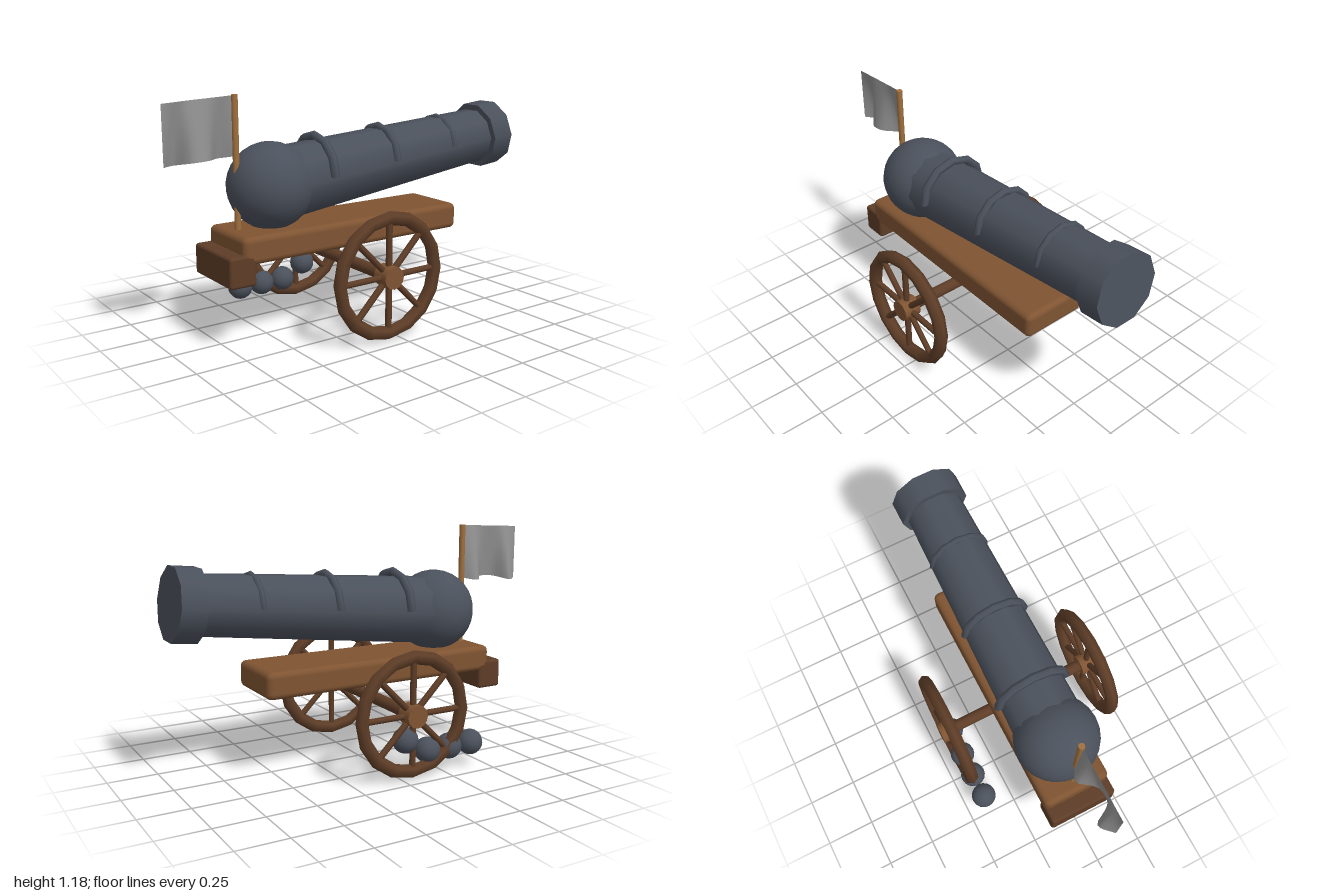
import * as THREE from 'three';
import { RoundedBoxGeometry } from 'three/addons/geometries/RoundedBoxGeometry.js';

const material = (name, color) => {
  const m = new THREE.MeshStandardMaterial({ color });
  m.name = name;
  return m;
};

export function createModel() {
  const iron = material('dark iron', 0x4b515c);
  const wood = material('brown wood', 0x7f5432);
  const darkWood = material('dark wood', 0x5e3d27);
  const paleWood = material('pale wood', 0xa1713f);
  const cloth = material('grey cloth', 0x929292);
  cloth.side = THREE.DoubleSide;

  const model = new THREE.Group();
  model.name = 'cannon';
  const add = (parent, name, geometry, mat, x = 0, y = 0, z = 0) => {
    const mesh = new THREE.Mesh(geometry, mat);
    mesh.name = name;
    mesh.position.set(x, y, z);
    parent.add(mesh);
    return mesh;
  };

  // Barrel, tilted up towards +x, with its origin at the breech ball
  const barrel = new THREE.Group();
  barrel.name = 'barrel';
  barrel.position.set(-0.46, 0.742, 0);
  barrel.rotation.z = 0.1;
  model.add(barrel);
  const alongX = (rFront, rBack, length) =>
    new THREE.CylinderGeometry(rFront, rBack, length, 10).rotateZ(-Math.PI / 2);
  add(barrel, 'breechBall', new THREE.SphereGeometry(0.212, 24, 16), iron);
  add(barrel, 'barrelTube', alongX(0.147, 0.181, 1.35), iron, 0.675);
  add(barrel, 'muzzle', alongX(0.18, 0.18, 0.125), iron, 1.387);

  // Half hoops over the top of the barrel: x, y, radius, thickness
  for (const [x, y, r, t] of [
    [-0.205, 0.78, 0.183, 0.022],
    [0.19, 0.816, 0.163, 0.02],
    [0.585, 0.851, 0.147, 0.016],
  ]) {
    const hoop = new THREE.Group();
    hoop.name = 'barrelHoop';
    hoop.position.set(x, y, 0);
    add(hoop, 'hoopBand', new THREE.TorusGeometry(r, t, 6, 6, Math.PI).rotateY(Math.PI / 2), iron);
    for (const s of [-1, 1]) {
      add(hoop, 'hoopEnd', new THREE.CircleGeometry(t, 6).rotateX(Math.PI / 2), iron, 0, 0, s * r);
    }
    model.add(hoop);
  }

  // Carriage bed, rear block and axle
  add(model, 'carriageBed', new RoundedBoxGeometry(1.29, 0.135, 0.356, 2, 0.03), wood, -0.06, 0.484, 0);
  add(model, 'rearBlock', new RoundedBoxGeometry(0.138, 0.15, 0.356, 2, 0.015), darkWood, -0.712, 0.395, 0);
  add(model, 'axle', new THREE.CylinderGeometry(0.031, 0.031, 0.84, 12).rotateX(Math.PI / 2), darkWood, -0.063, 0.322, 0);

  // Wheels: faceted rim, four through-spokes and a hub
  for (const side of [-1, 1]) {
    const wheel = new THREE.Group();
    wheel.name = side > 0 ? 'frontWheel' : 'backWheel';
    wheel.position.set(-0.063, 0.322, side * 0.418);
    add(wheel, 'rim', new THREE.TorusGeometry(0.285, 0.034, 6, 16), darkWood);
    for (let i = 0; i < 4; i++) {
      const spoke = add(wheel, 'spoke', new THREE.CylinderGeometry(0.016, 0.016, 0.56, 8), darkWood);
      spoke.rotation.z = (i * Math.PI) / 4;
    }
    add(wheel, 'hub', new THREE.CylinderGeometry(0.056, 0.056, 0.09, 12).rotateX(Math.PI / 2), wood);
    model.add(wheel);
  }

  // Cannonballs beside the back wheel
  for (const [x, y] of [[-0.424, 0.123], [-0.294, 0.123], [-0.165, 0.123], [-0.035, 0.193]]) {
    add(model, 'cannonball', new THREE.SphereGeometry(0.065, 16, 12), iron, x, y, -0.395);
  }

  // Flagpole
  add(model, 'flagpole', new THREE.CylinderGeometry(0.016, 0.016, 0.665, 8), paleWood, -0.64, 0.853, 0);

  // Flag: flat along its top edge, with folds that deepen downwards
  const folds = new THREE.CatmullRomCurve3(
    [[-1, 0], [-0.93, -0.055], [-0.87, 0.03], [-0.79, 0.03], [-0.71, -0.05], [-0.64, 0]]
      .map(([x, z]) => new THREE.Vector3(x, 0, z)));
  const flag = new THREE.PlaneGeometry(1, 1, 20, 8);
  const pos = flag.attributes.position;
  const p = new THREE.Vector3();
  for (let i = 0; i < pos.count; i++) {
    const u = pos.getX(i) + 0.5;
    const drop = 0.5 - pos.getY(i);
    folds.getPoint(u, p);
    const top = 1.165 + 0.018 * u;
    const height = 0.282 - 0.15 * p.z * drop;
    pos.setXYZ(i, p.x, top - height * drop, p.z * drop);
  }
  flag.computeVertexNormals();
  add(model, 'flag', flag, cloth);

  return model;
}
